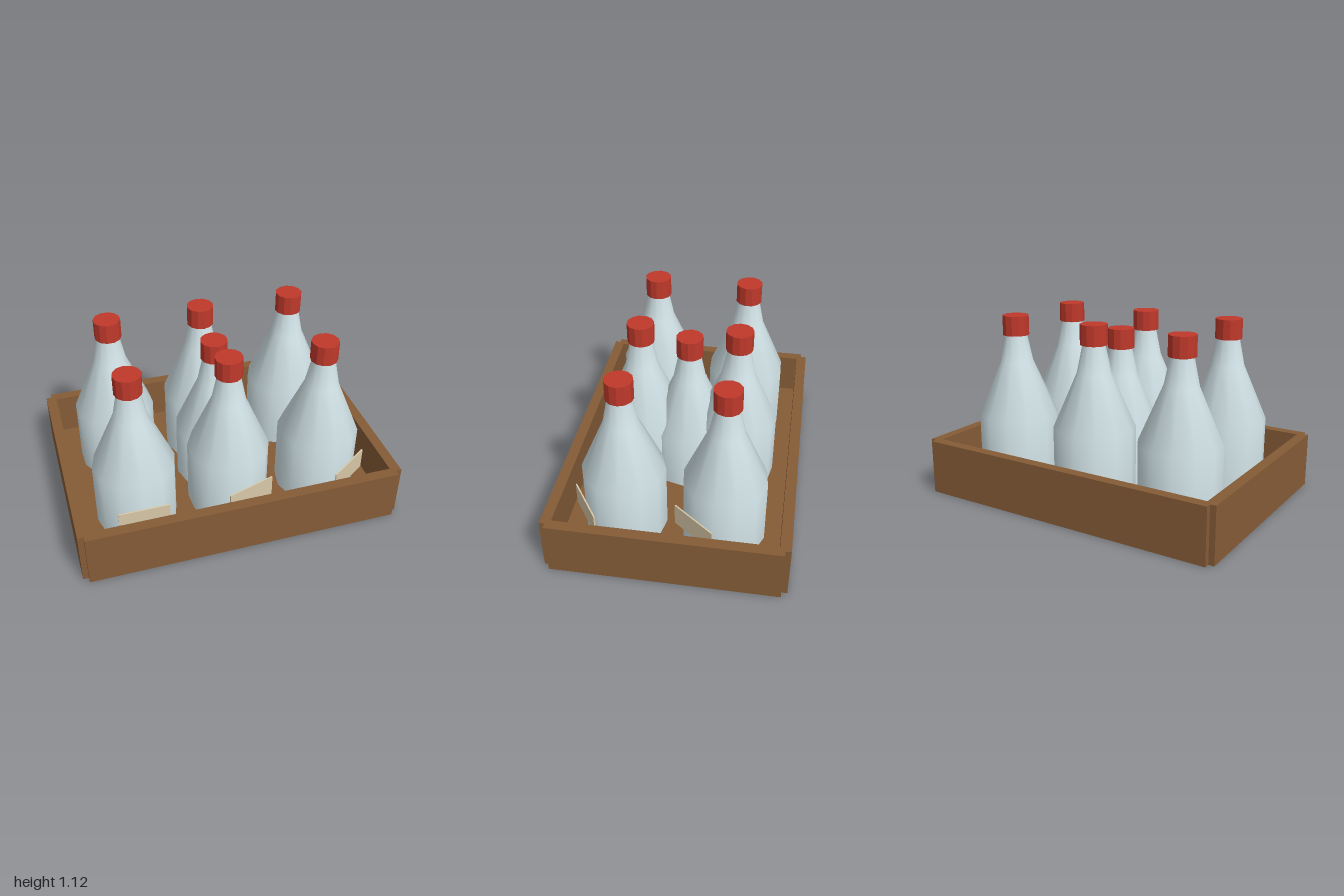
import * as THREE from 'three';

const material = (name, color, extra = {}) => {
  const m = new THREE.MeshStandardMaterial({ color, ...extra });
  m.name = name;
  return m;
};

export function createModel() {
  const wood = material('wood', 0x855c37);
  const glass = material('pale glass', 0xcfe0e4);
  const red = material('red cap', 0xc0392b, { flatShading: true });
  const paper = material('cream paper', 0xd8c8a8);

  const model = new THREE.Group();
  model.name = 'bottleCrate';

  const add = (parent, name, geometry, mat, x, y, z) => {
    const mesh = new THREE.Mesh(geometry, mat);
    mesh.name = name;
    mesh.position.set(x, y, z);
    parent.add(mesh);
    return mesh;
  };

  // Crate: floor and four walls that overlap into stepped corners
  const crate = new THREE.Group();
  crate.name = 'crate';
  model.add(crate);
  const wallHeight = 0.34;
  add(crate, 'floor', new THREE.BoxGeometry(1.93, 0.068, 1.36), wood, 0, 0.034, 0);
  for (const s of [1, -1]) {
    add(crate, s > 0 ? 'frontWall' : 'backWall',
      new THREE.BoxGeometry(1.93, wallHeight, 0.065), wood, 0, wallHeight / 2, s * 0.6825);
    add(crate, s > 0 ? 'leftWall' : 'rightWall',
      new THREE.BoxGeometry(0.065, wallHeight, 1.36), wood, s * 0.9675, wallHeight / 2, 0);
  }

  // Shared bottle parts
  const profile = [[0, 0], [0.25, 0], [0.25, 0.42], [0.103, 0.76], [0.066, 0.94]];
  const bodyGeometry = new THREE.LatheGeometry(profile.slice(1).map(([r, y]) => new THREE.Vector2(r, y)), 12);
  const baseGeometry = new THREE.CircleGeometry(0.25, 12).rotateX(Math.PI / 2);
  const capGeometry = new THREE.CylinderGeometry(0.083, 0.083, 0.123, 12);
  const labelGeometry = new THREE.BoxGeometry(0.31, 0.14, 0.009);

  const addBottle = (x, y, z, turn) => {
    const bottle = new THREE.Group();
    bottle.name = 'bottle';
    bottle.position.set(x, y, z);
    bottle.rotation.y = turn;
    add(bottle, 'bottleBody', bodyGeometry, glass, 0, 0, 0);
    add(bottle, 'bottleBase', baseGeometry, glass, 0, 0, 0);
    add(bottle, 'cap', capGeometry, red, 0, 0.9885, 0);
    add(bottle, 'label', labelGeometry, paper, 0, 0.186, 0.254);
    model.add(bottle);
  };

  // Two rows of three, each bottle turned a little further than the last
  [0.297, -0.303].forEach((z, row) => {
    [-0.588, 0, 0.588].forEach((x, column) => addBottle(x, 0.07, z, (row + column) * 0.3));
  });
  // Extra bottle squeezed in the middle, sunk to the underside of the floor
  addBottle(0, 0, -0.003, 0);

  return model;
}
